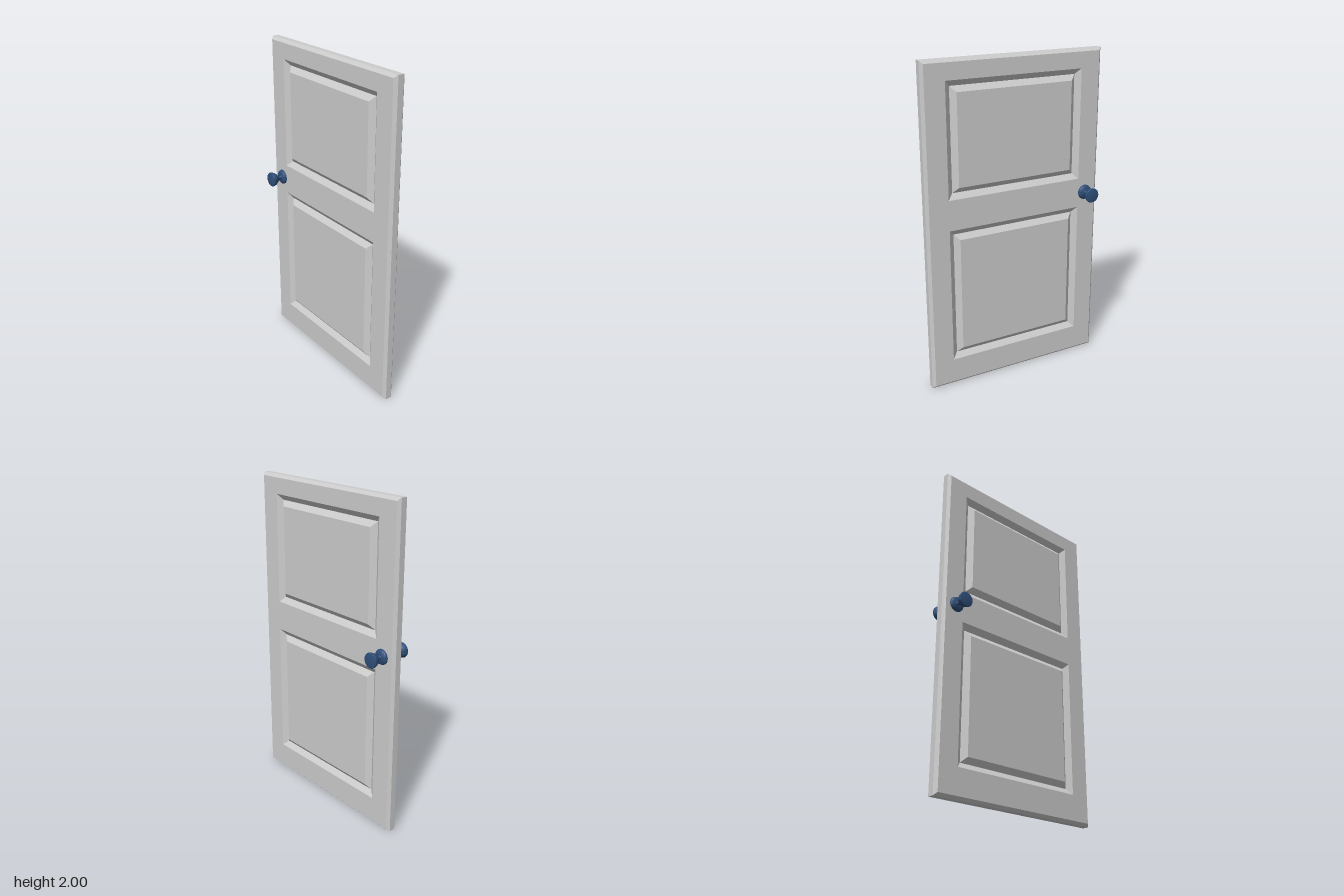
import * as THREE from 'three';
import { mergeGeometries, toCreasedNormals } from 'three/addons/utils/BufferGeometryUtils.js';

const HALF = 0.036;      // half thickness of the slab
const CHAMFER = 0.017;   // bevel round the outer edge
const GROOVE = 0.026;    // depth of the V-groove round each panel
const PANELS = [[1.204, 1.885], [0.171, 1.018]]; // bottom and top of each panel
const PANEL_W = 0.44;

// Corners of a rectangle at a given depth, counter-clockwise
function rect(w, y0, y1, depth, inset = 0) {
  const a = w - inset, b = y0 + inset, t = y1 - inset;
  return [[-a, b, depth], [a, b, depth], [a, t, depth], [-a, t, depth]];
}

// Four flat quads joining two rectangles
function band(outer, inner) {
  const pos = [];
  for (let i = 0; i < 4; i++) {
    const j = (i + 1) % 4;
    pos.push(...outer[i], ...outer[j], ...inner[j], ...outer[i], ...inner[j], ...inner[i]);
  }
  const geo = new THREE.BufferGeometry();
  geo.setAttribute('position', new THREE.Float32BufferAttribute(pos, 3));
  geo.computeVertexNormals();
  return geo;
}

// Flat face filling a rectangle, with optional rectangular holes
function flat(corners, holes = []) {
  const points = (c) => c.map(([x, y]) => new THREE.Vector2(x, y));
  const shape = new THREE.Shape(points(corners));
  holes.forEach((h) => shape.holes.push(new THREE.Path(points(h))));
  const geo = new THREE.ShapeGeometry(shape).toNonIndexed();
  geo.deleteAttribute('uv');
  return geo.translate(0, 0, corners[0][2]);
}

export function createModel() {
  const door = new THREE.Group();
  door.name = 'door';
  const grey = new THREE.MeshStandardMaterial({ color: 0xcccccc });
  const blue = new THREE.MeshStandardMaterial({ color: 0x2f4f7a });

  const add = (name, geo, material, parent) => {
    const mesh = new THREE.Mesh(geo, material);
    mesh.name = name;
    parent.add(mesh);
    return mesh;
  };

  // Outer edge of the slab
  const rim = HALF - CHAMFER;
  const edge = band(rect(0.58, 0, 2, -rim), rect(0.58, 0, 2, rim));
  add('slabEdge', edge.rotateY(Math.PI / 2), grey, door);

  // Face plate, rosette, stem and cupped knob profiles (radius, distance out)
  const profiles = {
    rosette: [[0.046, 0], [0.046, 0.005], [0.043, 0.011], [0.037, 0.016], [0, 0.016]],
    stem: [[0.014, 0.014], [0.01, 0.02], [0.009, 0.03], [0.011, 0.042]],
    knob: [[0, 0.036], [0.01, 0.037], [0.019, 0.041], [0.028, 0.049], [0.035, 0.058],
      [0.041, 0.069], [0.045, 0.081], [0.046, 0.087], [0.044, 0.091], [0.036, 0.093], [0, 0.094]],
  };

  for (const side of [1, -1]) {
    const sideName = side > 0 ? 'left' : 'right';
    const face = new THREE.Group();
    face.name = `${sideName}Face`;
    face.rotation.y = side * Math.PI / 2;
    door.add(face);

    // Chamfer and frame of stiles and rails
    const outline = rect(0.58, 0, 2, HALF, CHAMFER);
    const openings = PANELS.map(([y0, y1]) => rect(PANEL_W, y0, y1, HALF));
    const frame = mergeGeometries([band(rect(0.58, 0, 2, rim), outline), flat(outline, openings)]);
    add('frame', frame, grey, face);

    // Raised panels, each ringed by a V-groove
    PANELS.forEach(([y0, y1], i) => {
      const valley = rect(PANEL_W, y0, y1, HALF - GROOVE, 0.034);
      const field = rect(PANEL_W, y0, y1, HALF, 0.067);
      const geo = mergeGeometries([band(openings[i], valley), band(valley, field), flat(field)]);
      add(i ? 'lowerPanel' : 'upperPanel', geo, grey, face);
    });

    // Door handle
    const handle = new THREE.Group();
    handle.name = `${sideName}Handle`;
    handle.position.set(side * HALF, 1.112, -0.488);
    handle.rotation.z = -side * Math.PI / 2;
    for (const [name, pts] of Object.entries(profiles)) {
      const lathe = new THREE.LatheGeometry(pts.map(([r, h]) => new THREE.Vector2(r, h)), 32);
      add(name, toCreasedNormals(lathe, 0.7), blue, handle);
    }
    door.add(handle);
  }
  return door;
}
